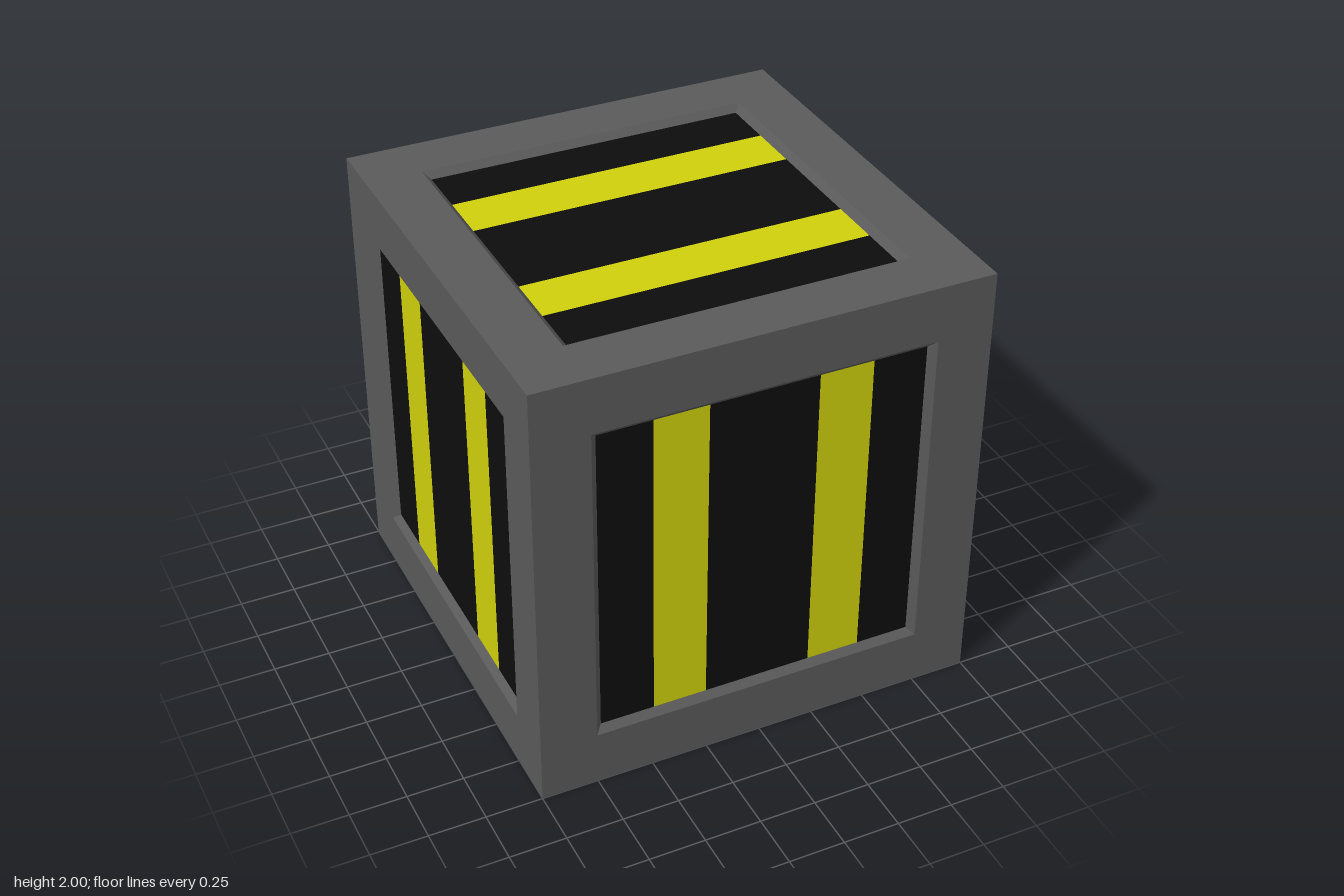
import * as THREE from 'three';

const OPEN = 0.75;   // half width of the opening at the outer surface
const PANEL = 0.72;  // half width of the recessed panel
const DEPTH = 0.03;  // recess depth

const frameMat = new THREE.MeshStandardMaterial({ color: 0x5a5a5a, flatShading: true, side: THREE.DoubleSide });
const blackMat = new THREE.MeshStandardMaterial({ color: 0x0d0d0d });
const yellowMat = new THREE.MeshStandardMaterial({ color: 0xd0d00d });

function square(Type, h) {
  return new Type([[-h, -h], [h, -h], [h, h], [-h, h]].map(([x, y]) => new THREE.Vector2(x, y)));
}

function part(name, geometry, material) {
  const mesh = new THREE.Mesh(geometry, material);
  mesh.name = name;
  return mesh;
}

// One side of the crate, facing +z, with stripes along y
function createSide(name) {
  const side = new THREE.Group();
  side.name = name;

  // Flat border with a square opening
  const border = square(THREE.Shape, 1);
  border.holes.push(square(THREE.Path, OPEN));
  side.add(part('border', new THREE.ShapeGeometry(border).translate(0, 0, 1), frameMat));

  // Sloped walls of the recess
  const bevel = new THREE.CylinderGeometry(OPEN * Math.SQRT2, PANEL * Math.SQRT2, DEPTH, 4, 1, true);
  bevel.rotateY(Math.PI / 4).rotateX(Math.PI / 2).translate(0, 0, 1 - DEPTH / 2);
  side.add(part('recessBevel', bevel, frameMat));

  // Panel stripes, laid edge to edge: [left, right, material]
  const stripes = [
    [-PANEL, -0.48, blackMat], [-0.48, -0.24, yellowMat], [-0.24, 0.24, blackMat],
    [0.24, 0.48, yellowMat], [0.48, PANEL, blackMat],
  ];
  for (const [a, b, material] of stripes) {
    const strip = new THREE.PlaneGeometry(b - a, 2 * PANEL).translate((a + b) / 2, 0, 1 - DEPTH);
    side.add(part(material === yellowMat ? 'yellowStripe' : 'blackStripe', strip, material));
  }
  return side;
}

export function createModel() {
  const crate = new THREE.Group();
  crate.name = 'stripedCrate';
  const q = Math.PI / 2;

  // Upright stripes on the four walls, stripes along x on top and bottom
  const sides = {
    frontSide: [0, 0, 0], leftSide: [0, q, 0], backSide: [0, 2 * q, 0], rightSide: [0, -q, 0],
    topSide: [-q, 0, q], bottomSide: [q, 0, q],
  };
  for (const [name, rotation] of Object.entries(sides)) {
    const side = createSide(name);
    side.rotation.set(...rotation);
    side.position.y = 1;
    crate.add(side);
  }
  return crate;
}
